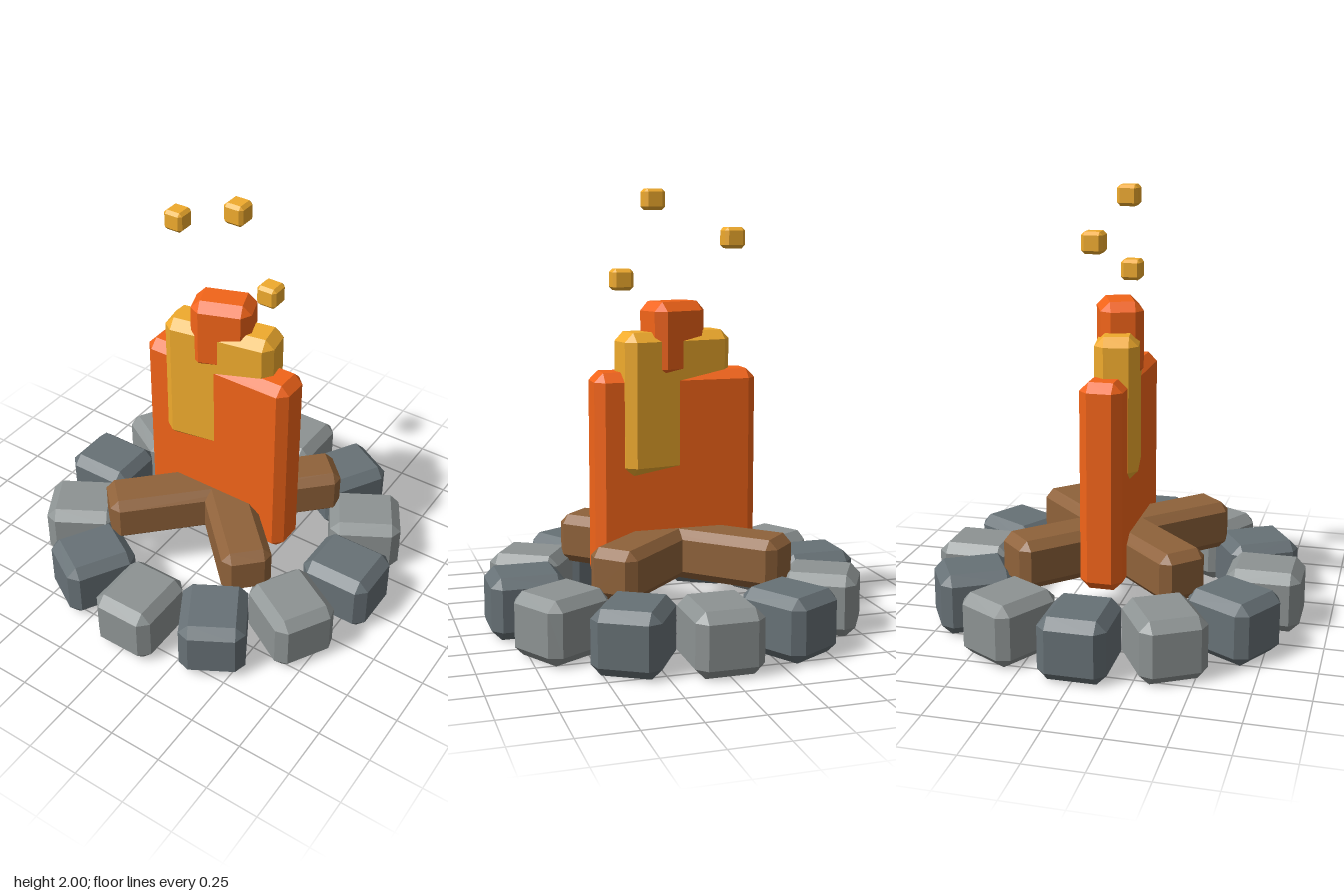
import * as THREE from 'three';
import { ConvexGeometry } from 'three/addons/geometries/ConvexGeometry.js';

const material = (color) => new THREE.MeshStandardMaterial({ color, flatShading: true });

// Box with every edge cut by a flat bevel c
function bevelBox(w, h, d, c) {
  const points = [];
  for (const sx of [-1, 1]) for (const sy of [-1, 1]) for (const sz of [-1, 1]) {
    const x = w / 2, y = h / 2, z = d / 2;
    points.push(
      new THREE.Vector3(sx * x, sy * (y - c), sz * (z - c)),
      new THREE.Vector3(sx * (x - c), sy * y, sz * (z - c)),
      new THREE.Vector3(sx * (x - c), sy * (y - c), sz * z)
    );
  }
  return new ConvexGeometry(points);
}

export function createModel() {
  const model = new THREE.Group();
  model.name = 'campfire';

  const lightStone = material(0x8d9393);
  const darkStone = material(0x677176);
  const wood = material(0x8f623a);
  const orange = material(0xf26419);
  const yellow = material(0xf0ab2d);

  const add = (name, geometry, mat, [x, y, z], turn = 0) => {
    const mesh = new THREE.Mesh(geometry, mat);
    mesh.name = name;
    mesh.position.set(x, y, z);
    mesh.rotation.y = turn;
    model.add(mesh);
  };

  // Ring of stones in alternating greys
  const stone = bevelBox(0.345, 0.285, 0.305, 0.045);
  for (let i = 0; i < 12; i++) {
    const a = (i * Math.PI) / 6;
    add('stone' + (i + 1), stone, i % 2 ? lightStone : darkStone,
      [0.7 * Math.cos(a), 0.1425, -0.7 * Math.sin(a)], a);
  }

  // Two crossed logs
  const log = bevelBox(1.142, 0.23, 0.235, 0.04);
  add('logA', log, wood, [0, 0.337, 0], Math.PI / 4);
  add('logB', log, wood, [0, 0.337, 0], -Math.PI / 4);

  // Flame layers: name, width, bottom, top, turn in degrees
  for (const [name, width, bottom, top, turn, mat] of [
    ['outerFlame', 0.765, 0.22, 1.18, 0, orange],
    ['middleFlame', 0.53, 0.705, 1.36, 10, yellow],
    ['flameTip', 0.278, 1.15, 1.495, 20, orange],
  ]) {
    add(name, bevelBox(width, top - bottom, 0.196, 0.042), mat,
      [0, (bottom + top) / 2, 0], THREE.MathUtils.degToRad(turn));
  }

  // Floating sparks
  const spark = bevelBox(0.096, 0.096, 0.096, 0.015);
  [[0.085, 1.952, 0.022], [-0.275, 1.78, -0.045], [0.24, 1.595, 0]]
    .forEach((p, i) => add('spark' + (i + 1), spark, yellow, p));

  return model;
}
